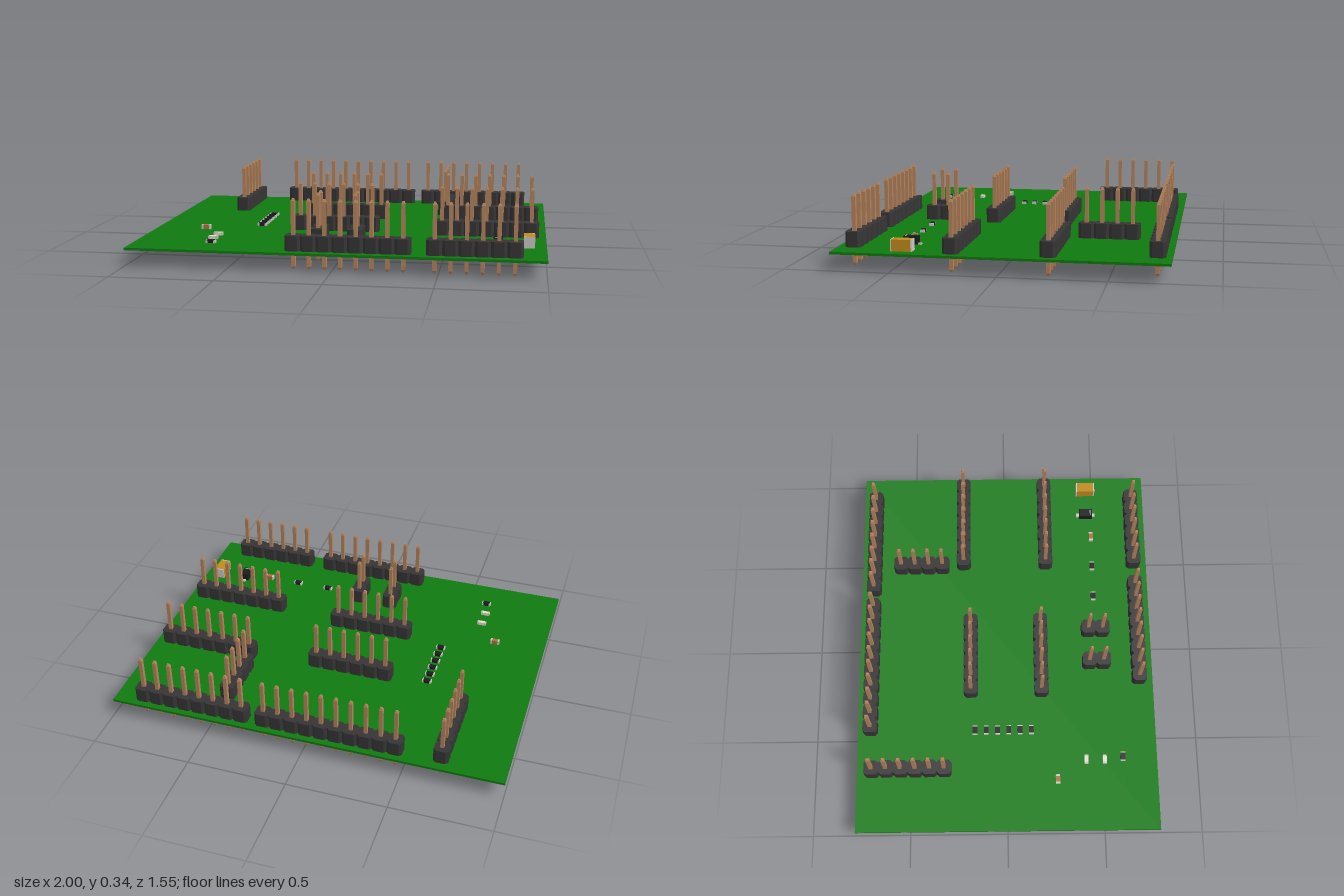
import * as THREE from 'three';

const mat = (name, color) => {
  const m = new THREE.MeshStandardMaterial({ color });
  m.name = name;
  return m;
};

const PITCH = 0.0746;
const TOP = 0.09; // upper face of the board

export function createModel() {
  const green = mat('board green', 0x0f7a0f);
  const black = mat('header black', 0x363435);
  const copper = mat('pin copper', 0xb5835c);
  const silver = mat('solder silver', 0xc9c9c4);
  const chip = mat('chip black', 0x1c1c1c);
  const brown = mat('ceramic brown', 0xa8713c);
  const orange = mat('tantalum orange', 0xc08a1c);
  const cream = mat('lamp cream', 0xe6dfc8);

  const root = new THREE.Group();
  root.name = 'circuitBoard';

  const group = (name, x, z, turned = false) => {
    const g = new THREE.Group();
    g.name = name;
    g.position.set(x, TOP, z);
    if (turned) g.rotation.y = Math.PI / 2;
    root.add(g);
    return g;
  };
  const box = (parent, name, m, w, h, d, x, y, z) => {
    const b = new THREE.Mesh(new THREE.BoxGeometry(w, h, d), m);
    b.name = name;
    b.position.set(x, y + h / 2, z);
    parent.add(b);
    return b;
  };

  // Board
  box(root, 'board', green, 2, 0.012, 1.554, 0, TOP - 0.012, 0);

  // Square pin with tapered tips
  const r = 0.0094 * Math.SQRT2;
  const profile = [[0, 0], [r * 0.5, 0], [r, 0.012], [r, 0.325], [r * 0.5, 0.337], [0, 0.337]]
    .map(([a, b]) => new THREE.Vector2(a, b));
  const pinGeo = new THREE.LatheGeometry(profile, 4, Math.PI / 4).toNonIndexed();
  pinGeo.computeVertexNormals();

  // Header strip: a row of chamfered blocks in one outline
  const headerGeo = (n) => {
    const h = 0.0372, c = 0.013, L = n * PITCH / 2;
    const pts = [];
    for (let i = 0; i < n; i++) {
      const x = -L + i * PITCH;
      pts.push([x, -h + c], [x + c, -h], [x + PITCH - c, -h]);
    }
    pts.push([L, -h + c]);
    const outline = pts.concat(pts.map(([x, y]) => [-x, -y]))
      .map(([x, y]) => new THREE.Vector2(x, y));
    return new THREE.ExtrudeGeometry(new THREE.Shape(outline), { depth: 0.073, bevelEnabled: false })
      .rotateX(-Math.PI / 2);
  };

  // Headers: x, z, pin count, turned along z
  [
    [-0.121, -0.71, 10], [0.591, -0.71, 8],
    [-0.68, -0.511, 6, true], [0.457, -0.453, 4, true],
    [0.703, -0.225, 7], [0.703, 0.222, 7],
    [-0.068, -0.187, 6], [-0.068, 0.185, 6],
    [-0.103, 0.48, 2, true], [0.079, 0.48, 2, true],
    [0.072, 0.703, 8], [0.666, 0.703, 6],
  ].forEach(([x, z, n, turned]) => {
    const g = group('pinHeader', x, z, turned);
    const body = new THREE.Mesh(headerGeo(n), black);
    body.name = 'headerBody';
    g.add(body);
    for (let i = 0; i < n; i++) {
      const pin = new THREE.Mesh(pinGeo, copper);
      pin.name = 'pin';
      pin.position.set((i - (n - 1) / 2) * PITCH, -TOP, 0);
      g.add(pin);
    }
  });

  // Small surface parts with metal ends
  const smallPart = (name, m, x, z, h, d = 0.0245) => {
    const g = group(name, x, z);
    box(g, 'body', m, 0.029, h, d, 0, 0, 0);
    for (const s of [-1, 1]) box(g, 'metalEnd', silver, 0.009, h, d, s * 0.019, 0, 0);
    return g;
  };
  const resistor = (x, z) => {
    const g = smallPart('resistor', chip, x, z, 0.014);
    box(g, 'topCoat', chip, 0.036, 0.001, 0.0245, 0, 0.014, 0);
  };
  for (let i = 0; i < 6; i++) resistor(-0.472, -0.166 + i * 0.0588);
  resistor(-0.62, 0.6);
  resistor(0.278, 0.479);
  resistor(0.457, 0.479);
  smallPart('capacitor', brown, -0.738, 0.26, 0.023, 0.022);
  smallPart('capacitor', brown, 0.631, 0.479, 0.023, 0.022);
  for (const z of [0.41, 0.505]) smallPart('lamp', cream, -0.634, z, 0.016, 0.02);

  // Diode
  const diode = group('diode', 0.767, 0.454);
  box(diode, 'diodeBody', chip, 0.045, 0.038, 0.07, 0, 0.003, 0);
  box(diode, 'polarityBand', silver, 0.03, 0.001, 0.005, 0, 0.041, 0.025);
  for (const s of [-1, 1]) box(diode, 'diodeLead', silver, 0.018, 0.008, 0.018, 0, 0, s * 0.042);

  // Tantalum capacitor
  const tantalum = group('tantalumCapacitor', 0.916, 0.455);
  box(tantalum, 'tantalumBody', orange, 0.054, 0.055, 0.09, 0, 0, 0);
  for (const s of [-1, 1]) box(tantalum, 'tantalumEnd', silver, 0.054, 0.055, 0.006, 0, 0, s * 0.048);

  return root;
}
